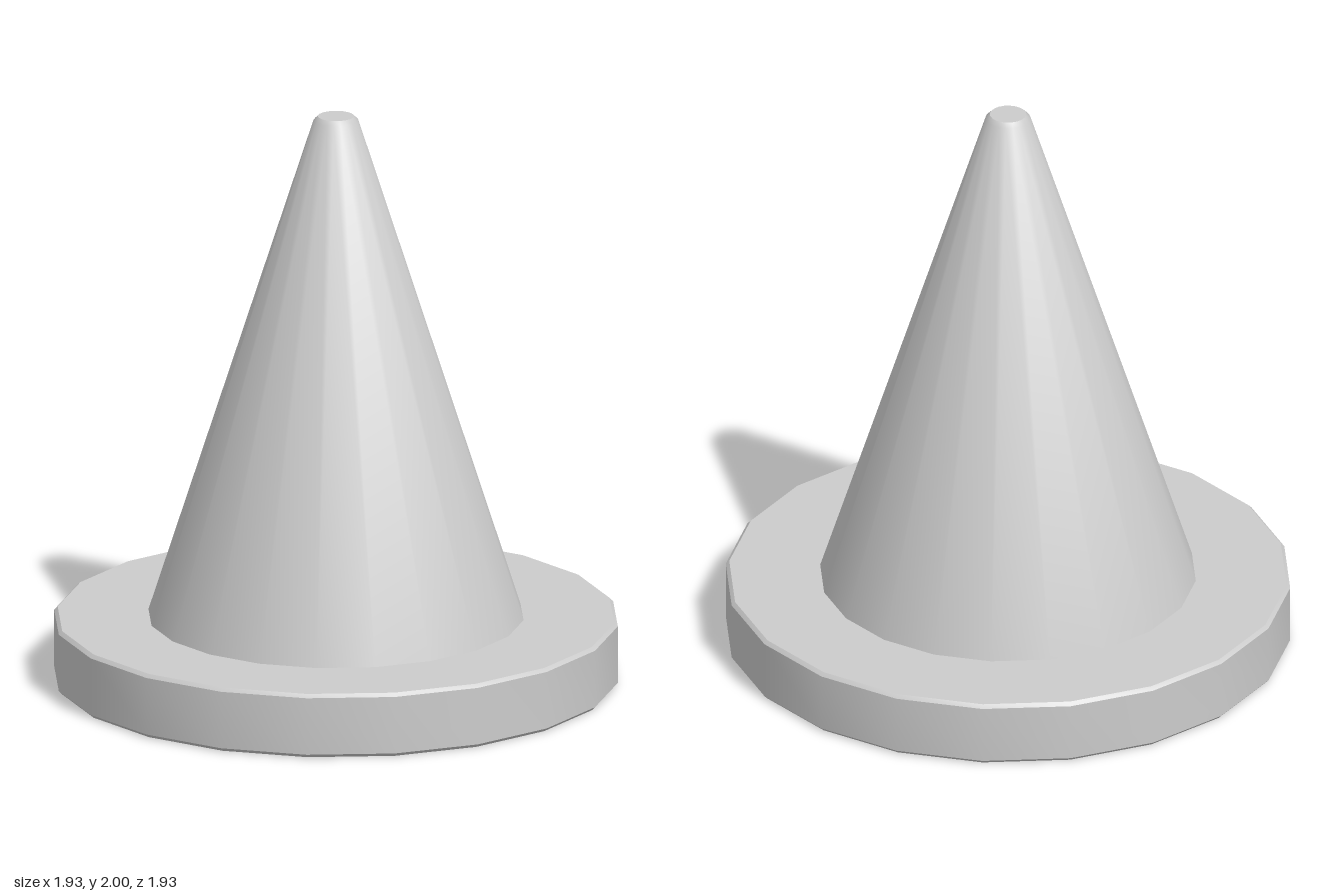
import * as THREE from 'three';
import { toCreasedNormals } from 'three/addons/utils/BufferGeometryUtils.js';

const SIDES = 20;
const TURN = THREE.MathUtils.degToRad(4.75); // the facets sit slightly turned about y

// Revolve a [radius, height] profile, keeping its bevels crisp and its sides smooth
function turned(name, profile, material) {
  const points = profile.map(([r, y]) => new THREE.Vector2(r, y));
  const lathe = new THREE.LatheGeometry(points, SIDES, TURN);
  const mesh = new THREE.Mesh(toCreasedNormals(lathe, THREE.MathUtils.degToRad(35)), material);
  mesh.name = name;
  return mesh;
}

export function createModel() {
  const group = new THREE.Group();
  group.name = 'trafficCone';
  const grey = new THREE.MeshStandardMaterial({ color: 0xcccccc });

  // Round base plate with small bevels
  group.add(turned('base', [
    [0, 0], [0.955, 0], [0.967, 0.012], [0.967, 0.213], [0.955, 0.225], [0, 0.225],
  ], grey));

  // Tapered body with a bevelled, closed tip
  group.add(turned('cone', [
    [0.645, 0.22], [0.077, 1.985], [0.062, 2], [0, 2],
  ], grey));

  return group;
}
